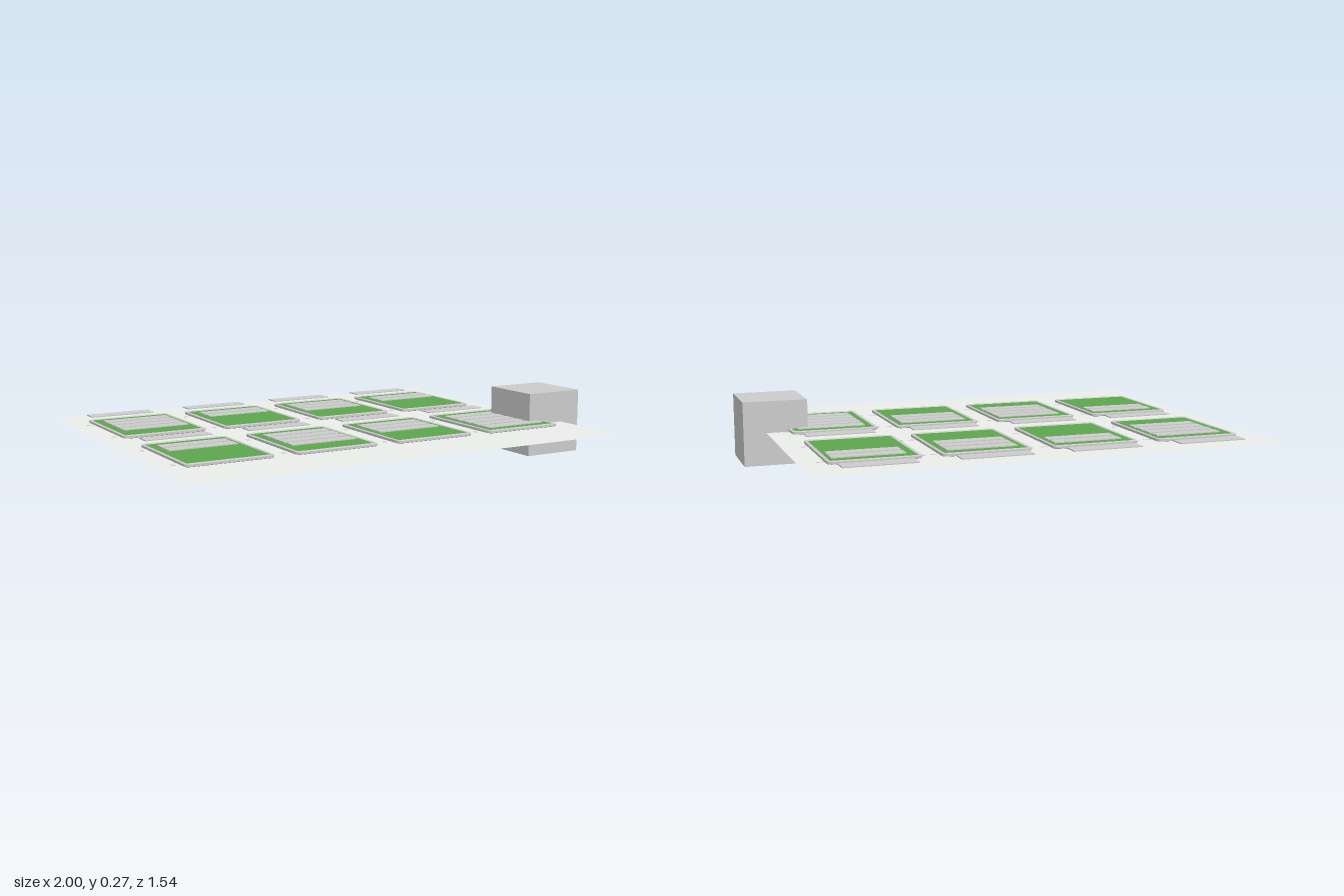
import * as THREE from 'three';

const BASE_Y = 0.138;

function roundedRect(path, w, d, r) {
  const x = w / 2, y = d / 2;
  path.moveTo(-x + r, -y);
  path.lineTo(x - r, -y);
  path.quadraticCurveTo(x, -y, x, -y + r);
  path.lineTo(x, y - r);
  path.quadraticCurveTo(x, y, x - r, y);
  path.lineTo(-x + r, y);
  path.quadraticCurveTo(-x, y, -x, y - r);
  path.lineTo(-x, -y + r);
  path.quadraticCurveTo(-x, -y, -x + r, -y);
  return path;
}

export function createModel() {
  const model = new THREE.Group();
  model.name = 'taskBoard';
  const grey = new THREE.MeshStandardMaterial({ color: 0xcccccc });
  const green = new THREE.MeshStandardMaterial({ color: 0x5ca64c });
  const pale = new THREE.MeshStandardMaterial({ color: 0xeaeeea, side: THREE.DoubleSide });

  const add = (parent, name, geometry, material, x, y, z) => {
    const mesh = new THREE.Mesh(geometry, material);
    mesh.name = name;
    mesh.position.set(x, y, z);
    parent.add(mesh);
    return mesh;
  };

  // Thin ground sheet
  const sheet = new THREE.PlaneGeometry(1.905, 1.545).rotateX(-Math.PI / 2);
  add(model, 'groundSheet', sheet, pale, -0.0475, BASE_Y, 0);

  // Cube on the edge of the sheet
  add(model, 'cube', new THREE.BoxGeometry(0.27, 0.272, 0.27), grey, 0.865, 0.136, 0.275);

  // Shared panel parts
  const W = 0.365, D = 0.455, bevel = 0.004;
  const outline = roundedRect(new THREE.Shape(), W - 2 * bevel, D - 2 * bevel, 0.022);
  outline.holes.push(roundedRect(new THREE.Path(), 0.345, 0.425, 0.003));
  const frameGeo = new THREE.ExtrudeGeometry(outline, {
    depth: 0.009, bevelSize: bevel, bevelThickness: 0.002, bevelSegments: 1, curveSegments: 5,
  }).rotateX(-Math.PI / 2);
  const faceGeo = new THREE.BoxGeometry(0.338, 0.009, 0.418);
  const stripGeo = new THREE.BoxGeometry(0.289, 0.004, 0.054);
  const titleGeo = new THREE.BoxGeometry(0.289, 0.004, 0.07);
  const leftStubGeo = new THREE.BoxGeometry(0.016, 0.004, 0.024);
  const rightStubGeo = new THREE.BoxGeometry(0.03, 0.004, 0.012);

  // Two rows of four panels: centre x, and number of strips on each
  const rows = [
    { z: -0.363, panels: [[-0.722, 4], [-0.273, 2], [0.181, 3], [0.622, 2]] },
    { z: 0.277, panels: [[-0.727, 2], [-0.273, 4], [0.181, 3], [0.629, 5]] },
  ];
  const titleX = [-0.724, -0.267, 0.181, 0.633];
  const stripX = [-0.714, -0.263, 0.183, 0.633];

  rows.forEach(({ z, panels }, row) => {
    panels.forEach(([x, count], col) => {
      const panel = new THREE.Group();
      panel.name = `panel${row + 1}${col + 1}`;
      model.add(panel);
      add(panel, 'frame', frameGeo, grey, x, 0.1415, z);
      add(panel, 'greenFace', faceGeo, green, x, 0.1455, z);
      add(panel, 'titlePlate', titleGeo, grey, titleX[col], 0.152, z - 0.309);

      // Strips stacked from the back edge forward
      const sx = stripX[col] - (row === 1 && col === 0 ? 0.006 : 0);
      for (let i = 0; i < count; i++) {
        add(panel, 'strip', stripGeo, grey, sx, 0.152, z - 0.136 + i * 0.069);
      }

      // Small stubs beside the panel, tucked under the sheet
      for (const dz of [-0.158, 0.152]) {
        add(panel, 'leftStub', leftStubGeo, grey, x - W / 2 - 0.018, BASE_Y - 0.0015, z + dz);
        add(panel, 'rightStub', rightStubGeo, grey, x + W / 2 + 0.014, BASE_Y - 0.0015, z + dz);
      }
    });
  });
  return model;
}
